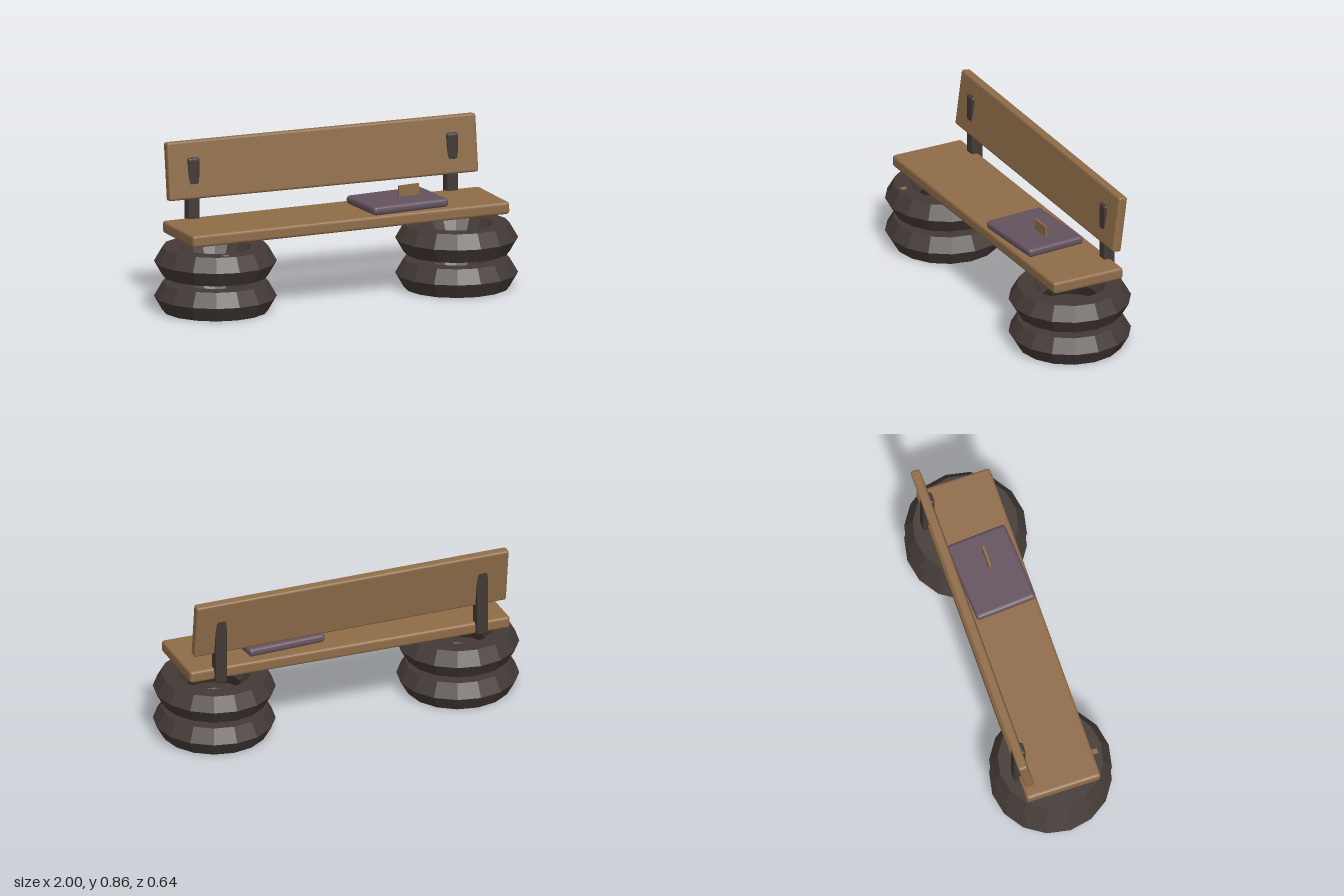
import * as THREE from 'three';
import { RoundedBoxGeometry } from 'three/addons/geometries/RoundedBoxGeometry.js';

const material = (name, color) => {
  const m = new THREE.MeshStandardMaterial({ color });
  m.name = name;
  return m;
};

// Split the faces so each one is shaded flat
function faceted(geometry) {
  const g = geometry.index ? geometry.toNonIndexed() : geometry;
  g.computeVertexNormals();
  return g;
}

export function createModel() {
  const model = new THREE.Group();
  const wood = material('wood', 0x8f6c48);
  const rubber = material('rubber', 0x433a36);
  const metal = material('darkMetal', 0x433a36);
  const fabric = material('purpleFabric', 0x64525f);

  function add(name, geometry, mat, position, rotation = [0, 0, 0]) {
    const mesh = new THREE.Mesh(geometry, mat);
    mesh.name = name;
    mesh.position.set(...position);
    mesh.rotation.set(...rotation);
    model.add(mesh);
    return mesh;
  }
  const block = (w, h, d, bevel) => faceted(new RoundedBoxGeometry(w, h, d, 2, bevel));

  // Stacked tyres and back posts at each end
  const tyre = faceted(new THREE.TorusGeometry(0.231, 0.0878, 6, 16).rotateX(Math.PI / 2));
  const post = block(0.064, 0.385, 0.065, 0.012);
  for (const [side, s] of [['left', 1], ['right', -1]]) {
    add(side + 'LowerTyre', tyre, rubber, [s * 0.681, 0.076, 0]);
    add(side + 'UpperTyre', tyre, rubber, [s * 0.681, 0.262, 0]);
    add(side + 'BackPost', post, metal, [s * 0.73, 0.583, -0.193]);
  }

  // Slightly sloping seat and leaning backrest
  add('seat', block(1.79, 0.065, 0.405, 0.015), wood, [0, 0.429, 0.002], [0, 0, 0.011]);
  add('backrest', block(1.745, 0.306, 0.05, 0.012), wood, [0, 0.709, -0.195], [-0.13, 0, 0]);

  // Cushion with an upright tag
  add('cushion', block(0.435, 0.046, 0.33, 0.018), fabric, [0.337, 0.489, 0.022], [0, 0.06, 0.011]);
  add('tag', new THREE.BoxGeometry(0.115, 0.07, 0.011), wood, [0.402, 0.536, 0.02], [0, 0, 0.03]);

  // Small peg sunk in the top of one tyre
  add('peg', new THREE.BoxGeometry(0.028, 0.03, 0.03), wood, [-0.72, 0.325, 0.23]);

  return model;
}
